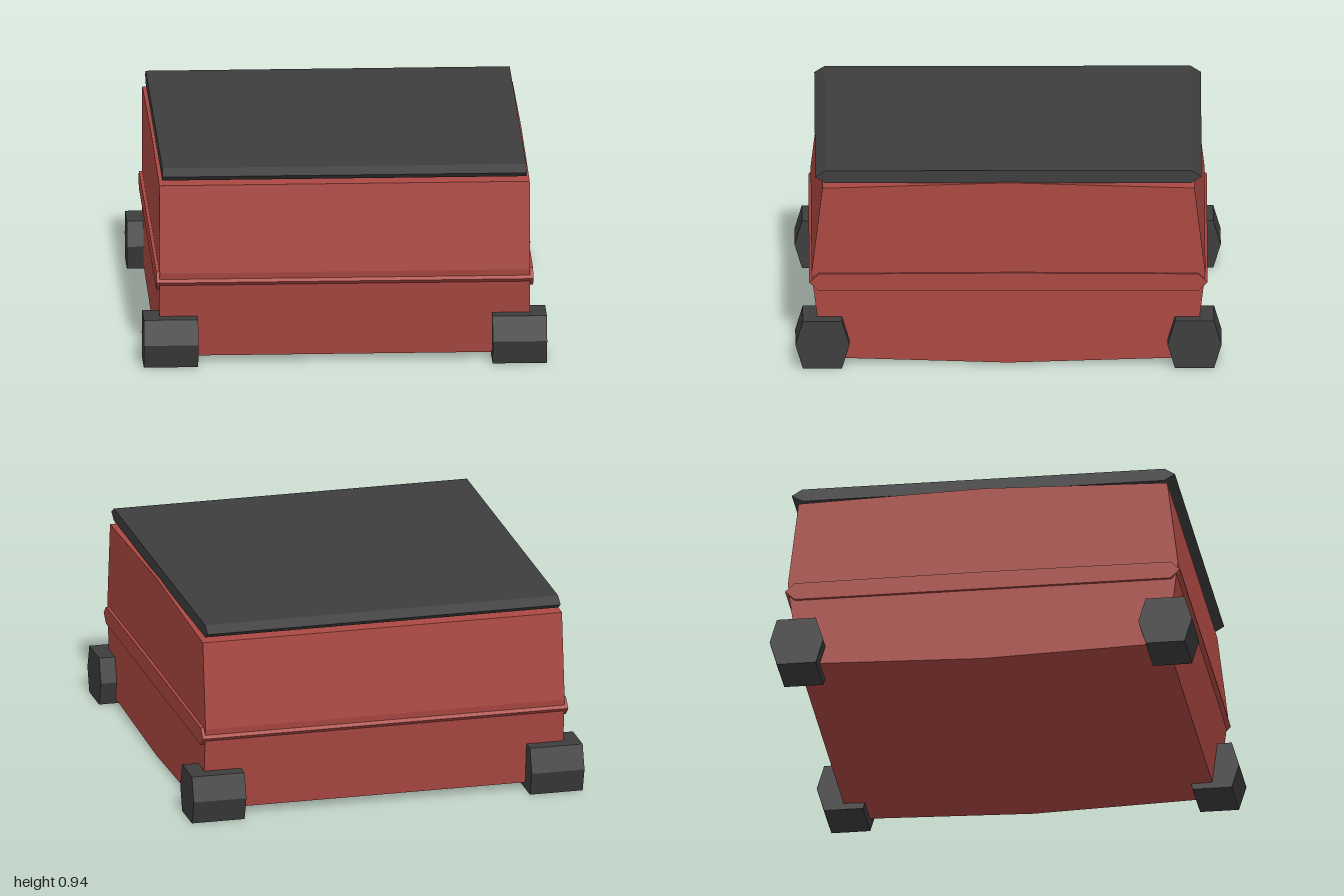
import * as THREE from 'three';

// Prism along x: half profile [z, y] runs from bottom to top and is mirrored in z.
function prism(name, half, width, material, x = 0, z = 0) {
  const mirrored = half.filter(([d]) => d > 0).reverse().map(([d, y]) => [-d, y]);
  const shape = new THREE.Shape([...half, ...mirrored].map(([d, y]) => new THREE.Vector2(d, y)));
  const geometry = new THREE.ExtrudeGeometry(shape, { depth: width, bevelEnabled: false });
  geometry.translate(0, 0, -width / 2).rotateY(Math.PI / 2);
  const mesh = new THREE.Mesh(geometry, material);
  mesh.name = name;
  mesh.position.set(x, 0, z);
  return mesh;
}

export function createModel() {
  const red = new THREE.MeshStandardMaterial({ name: 'red', color: 0xaa4741, flatShading: true });
  const dark = new THREE.MeshStandardMaterial({ name: 'charcoal', color: 0x3d3d3d, flatShading: true });
  const model = new THREE.Group();
  model.name = 'wheeledBox';

  // Case with slightly bulging front, back, top and bottom
  model.add(prism('body',
    [[0, 0.005], [0.873, 0.031], [0.924, 0.445], [0.873, 0.859], [0, 0.885]], 1.74, red));

  // Pointed trim band around the case
  model.add(prism('trimBand',
    [[0.89, 0.36], [0.935, 0.402], [0.89, 0.443], [0.1, 0.447]], 1.77, red));

  // Lid plate with pointed front and back edges
  model.add(prism('lid', [[0.858, 0.88], [0.907, 0.91], [0.858, 0.94]], 1.71, dark));

  // Six-sided wheels at the corners
  for (const [side, sx] of [['left', 1], ['right', -1]]) {
    for (const [end, sz] of [['Front', 1], ['Back', -1]]) {
      model.add(prism(`${side}${end}Wheel`,
        [[0.092, 0], [0.127, 0.115], [0.092, 0.23]], 0.255, dark, sx * 0.819, sz * 0.873));
    }
  }
  return model;
}
